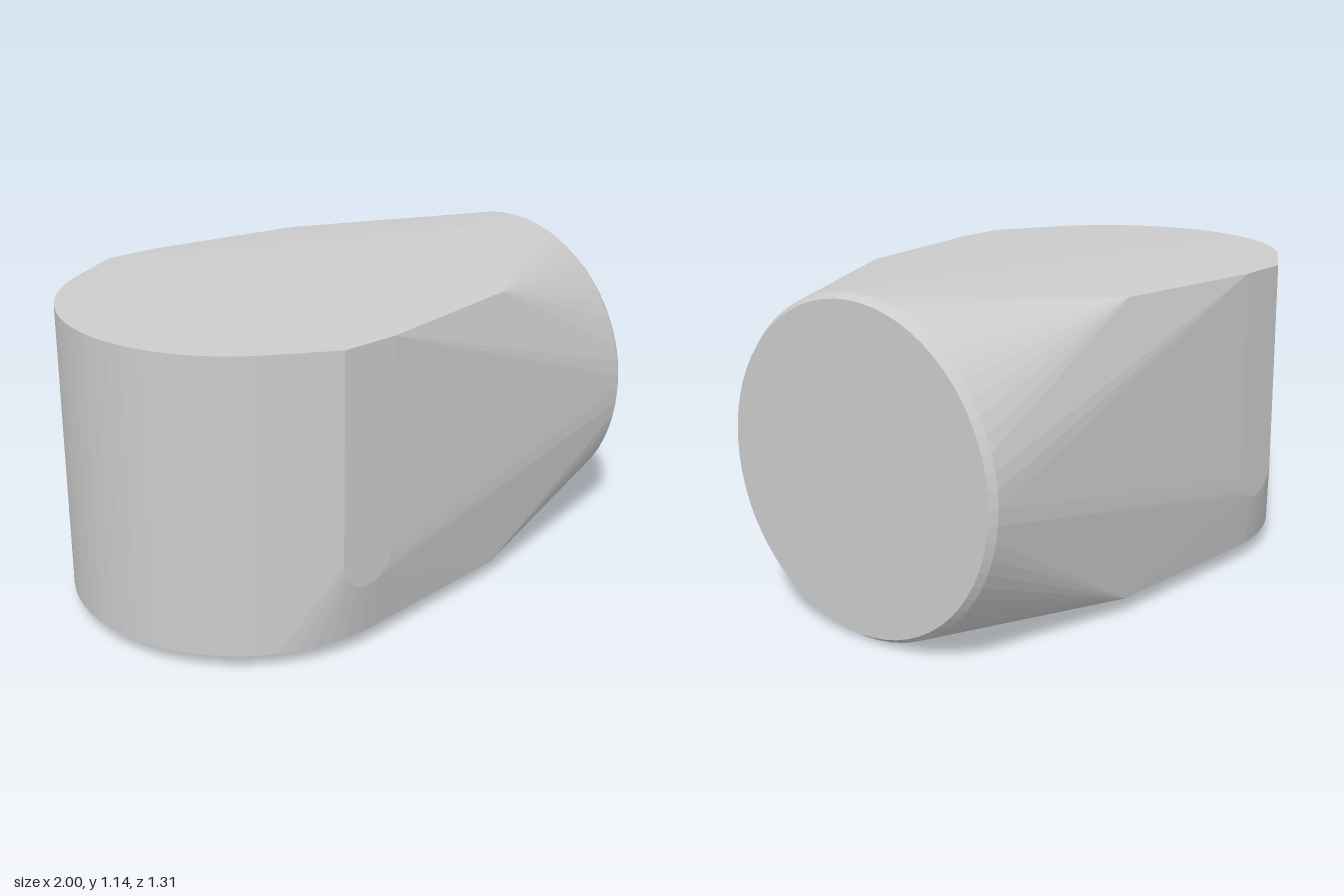
import * as THREE from 'three';
import { ConvexGeometry } from 'three/addons/geometries/ConvexGeometry.js';

const BOTTOM = 0.055, TOP = 1.09;

// Calls fn(cos, sin) for evenly spaced angles from start across sweep
function arc(count, start, sweep, fn) {
  for (let i = 0; i < count; i++) {
    const a = start + (sweep * i) / count;
    fn(Math.cos(a), Math.sin(a));
  }
}

export function createModel() {
  const group = new THREE.Group();
  const points = [];
  const add = (x, y, z) => points.push(new THREE.Vector3(x, y, z));

  // Upright round end
  arc(64, 0, Math.PI * 2, (c, s) => {
    for (const y of [BOTTOM, TOP]) add(-0.38 + 0.62 * c, y, 0.62 * s);
  });

  for (const side of [-1, 1]) {
    // Raised side pads: square at the top, rounded at the bottom
    for (const x of [-0.484, -0.276]) add(x, TOP, side * 0.655);
    arc(17, Math.PI, Math.PI * 17 / 16, (c, s) => add(-0.38 + 0.104 * c, 0.354 + 0.104 * s, side * 0.655));
    // Corners where the block blends into the round nose
    for (const y of [BOTTOM, TOP]) add(0.31, y, side * 0.562);
  }

  // Round nose facing +x with a small chamfer, as [x, radius] rings
  for (const [x, r] of [[0.7, 0.57], [0.975, 0.57], [1, 0.552]]) {
    arc(64, 0, Math.PI * 2, (c, s) => add(x, 0.57 + r * c, r * s));
  }

  // One taut skin around all the sections
  const body = new THREE.Mesh(
    new ConvexGeometry(points),
    new THREE.MeshStandardMaterial({ color: 0xcccccc, flatShading: true })
  );
  body.name = 'taperedBody';
  group.add(body);
  return group;
}
